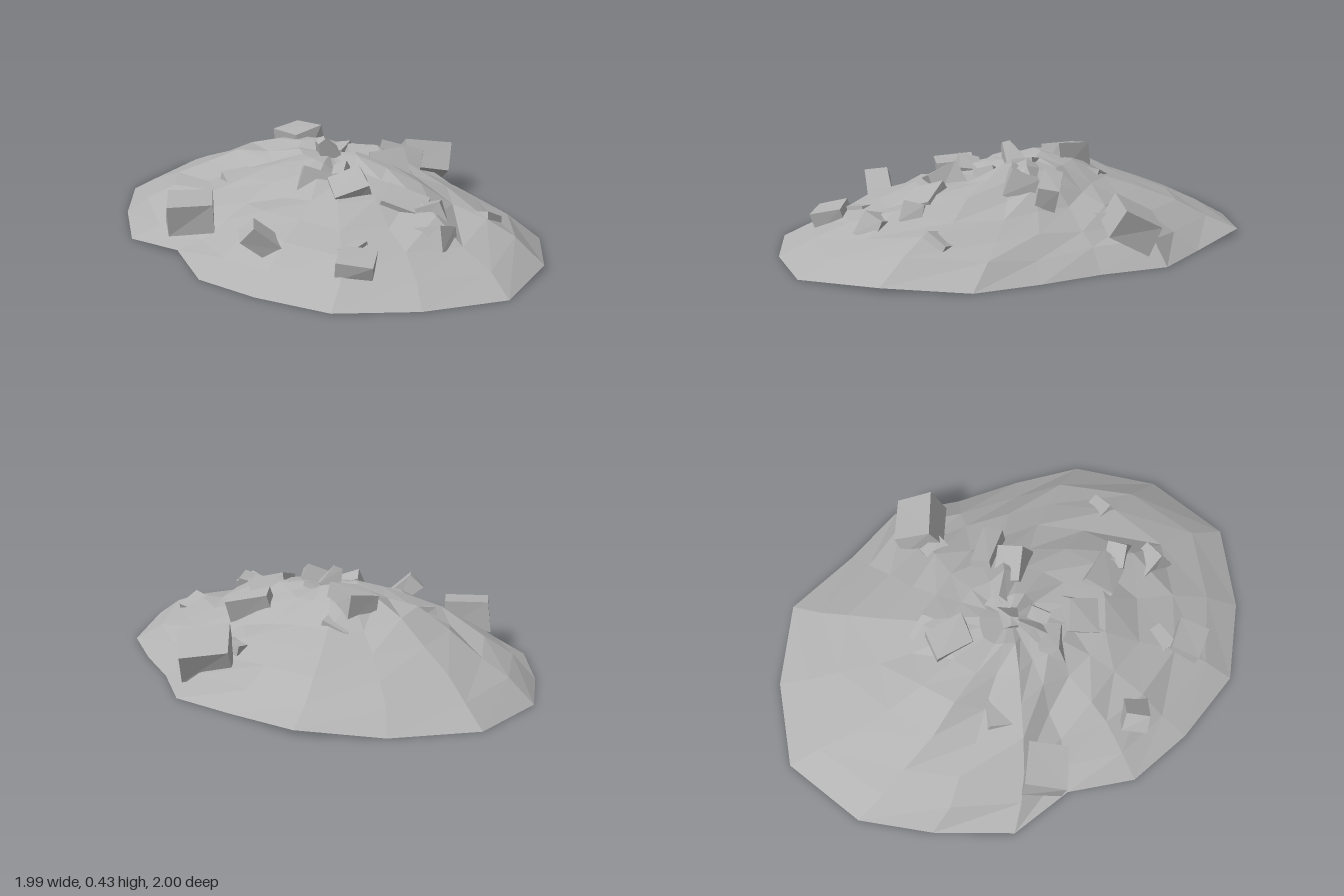
import * as THREE from 'three';

const stone = new THREE.MeshStandardMaterial({ color: 0xb2b2b2 });
stone.name = 'grey stone';
stone.side = THREE.DoubleSide;

// small seeded generator, -1..1
function makeRandom(seed) {
  return () => {
    seed = (seed * 16807) % 2147483647;
    return (seed / 2147483647) * 2 - 1;
  };
}

// outline on the ground, [x, z, lift], from the back round by the right side
const RIM = [
  [-0.17, -1, 0.025], [-0.53, -0.92], [-0.87, -0.73], [-1, -0.35], [-0.94, -0.02], [-0.82, 0.32],
  [-0.57, 0.48, 0.025], [-0.41, 0.74], [-0.14, 0.89], [0.19, 1], [0.54, 0.92], [0.87, 0.74],
  [0.99, 0.37, 0.02], [0.95, 0], [0.78, -0.25], [0.6, -0.47], [0.44, -0.73], [0.16, -0.84],
];
// rings of the mound: [fraction of the rim, height]
const RINGS = [[1, 0], [0.87, 0.08], [0.73, 0.145], [0.57, 0.205], [0.42, 0.255], [0.27, 0.31], [0.13, 0.35]];
// bumps and hollows: [x, z, height, width]
const LUMPS = [
  [-0.44, -0.17, 0.075, 0.14], [0.19, -0.16, 0.06, 0.12], [-0.14, -0.18, 0.06, 0.12],
  [0.12, 0.13, -0.05, 0.12], [-0.5, 0.42, -0.03, 0.14], [0.85, 0.25, 0.025, 0.2],
];

function moundGeometry() {
  const random = makeRandom(4711);
  const rows = RINGS.map(([f, h], r) => RIM.map(([rx, rz, lift = 0.003]) => {
    if (r === 0) return [rx, lift, rz];
    const rough = rx < 0.2 && rz < -0.3 ? 0.3 : 1; // the back slope is calmer
    const s = f * (1 + 0.035 * rough * random());
    const turn = 0.2 * (1 - f) + 0.03 * rough * random();
    const x = s * (rx * Math.cos(turn) + rz * Math.sin(turn));
    const z = s * (rz * Math.cos(turn) - rx * Math.sin(turn));
    let y = h + 0.02 * rough * random();
    for (const [lx, lz, a, w] of LUMPS) y += a * Math.exp(-((x - lx) ** 2 + (z - lz) ** 2) / (w * w));
    return [x, y, z];
  }));
  const n = RIM.length, pos = [];
  const tri = (...p) => p.forEach((q) => pos.push(...q));
  for (let r = 0; r < rows.length; r++) {
    for (let j = 0; j < n; j++) {
      const a = rows[r][j], b = rows[r][(j + 1) % n];
      if (r === rows.length - 1) { tri(a, b, [0.01, 0.345, 0]); continue; }
      const c = rows[r + 1][(j + 1) % n], d = rows[r + 1][j];
      tri(a, b, c);
      tri(a, c, d);
    }
  }
  const g = new THREE.BufferGeometry();
  g.setAttribute('position', new THREE.Float32BufferAttribute(pos, 3));
  g.computeVertexNormals();
  return g;
}

// broken block: a box with a narrowed top and slightly knocked corners
function blockGeometry(w, h, d, taper, random) {
  const corners = Array.from({ length: 8 }, () => [random(), random(), random()]);
  const g = new THREE.BoxGeometry(w, h, d).toNonIndexed();
  const p = g.attributes.position;
  for (let i = 0; i < p.count; i++) {
    const x = p.getX(i), y = p.getY(i), z = p.getZ(i);
    const c = corners[(x > 0 ? 1 : 0) + (y > 0 ? 2 : 0) + (z > 0 ? 4 : 0)];
    const s = y > 0 ? taper : 1;
    p.setXYZ(i, x * s + c[0] * w * 0.05, y + c[1] * h * 0.05, z * s + c[2] * d * 0.05);
  }
  g.computeVertexNormals();
  return g;
}

// large blocks: position, size, rotation
const BLOCKS = [
  [[-0.54, 0.16, 0.365], [0.2, 0.13, 0.18], [0.1, 0.25, 0]],
  [[0.37, 0.165, -0.575], [0.22, 0.13, 0.19], [-0.5, 0.28, 0]],
  [[-0.16, 0.16, 0.65], [0.17, 0.08, 0.12], [0.15, 0.25, -0.7]],
  [[0.25, 0.12, 0.76], [0.15, 0.09, 0.14], [0.25, 0, -0.1]],
  [[0.15, 0.26, 0.27], [0.17, 0.13, 0.15], [0.4, 0.4, 0.2]],
  [[0.38, 0.22, 0.31], [0.19, 0.1, 0.14], [0.3, -0.2, -0.25]],
  [[0.3, 0.27, -0.21], [0.2, 0.12, 0.09], [-0.2, 0.08, -0.2]],
  [[-0.17, 0.33, -0.22], [0.19, 0.13, 0.14], [0.25, -0.7, 0.25]],
];
// chunks sunk into the slope: [x, z, size, depth of the centre]
const CHUNKS = [
  [0.54, 0.48, 0.16, 0.04], [0.5, 0.34, 0.13, 0.03], [0.26, -0.08, 0.17, 0.04], [0.27, -0.46, 0.12, 0.03],
  [-0.02, 0.2, 0.15, 0.04], [-0.39, 0.08, 0.15, 0.05], [-0.14, -0.34, 0.14, 0.06], [0.19, 0.62, 0.16, 0.06],
  [0.7, 0.18, 0.16, 0.06], [0.02, -0.08, 0.14, 0.05], [0.06, 0.1, 0.14, 0.04],
];

export function createModel() {
  const model = new THREE.Group();
  model.name = 'rubblePile';
  const mound = new THREE.Mesh(moundGeometry(), stone);
  mound.name = 'mound';
  const rubble = new THREE.Group();
  rubble.name = 'rubbleBlocks';
  model.add(mound, rubble);

  const random = makeRandom(1013);
  const addBlock = (name, pos, size, rot, taper) => {
    const block = new THREE.Mesh(blockGeometry(...size, taper, random), stone);
    block.name = name;
    block.position.set(...pos);
    block.rotation.set(...rot);
    rubble.add(block);
  };
  BLOCKS.forEach((block, i) => addBlock(`block${i + 1}`, ...block, 0.95));

  // set each chunk below the surface of the mound
  const down = new THREE.Vector3(0, -1, 0);
  CHUNKS.forEach(([x, z, s, depth], i) => {
    const hit = new THREE.Raycaster(new THREE.Vector3(x, 1, z), down).intersectObject(mound)[0];
    const tilt = [0.45 * random(), 0.8 * random(), 0.45 * random()];
    addBlock(`chunk${i + 1}`, [x, hit.point.y - depth, z], [s, 0.7 * s, 0.75 * s], tilt, 0.9);
  });

  // pointed shard on the summit
  addBlock('summitShard', [-0.01, 0.37, 0.01], [0.1, 0.11, 0.09], [0.3, 0.5, 0.4], 0.4);
  return model;
}
